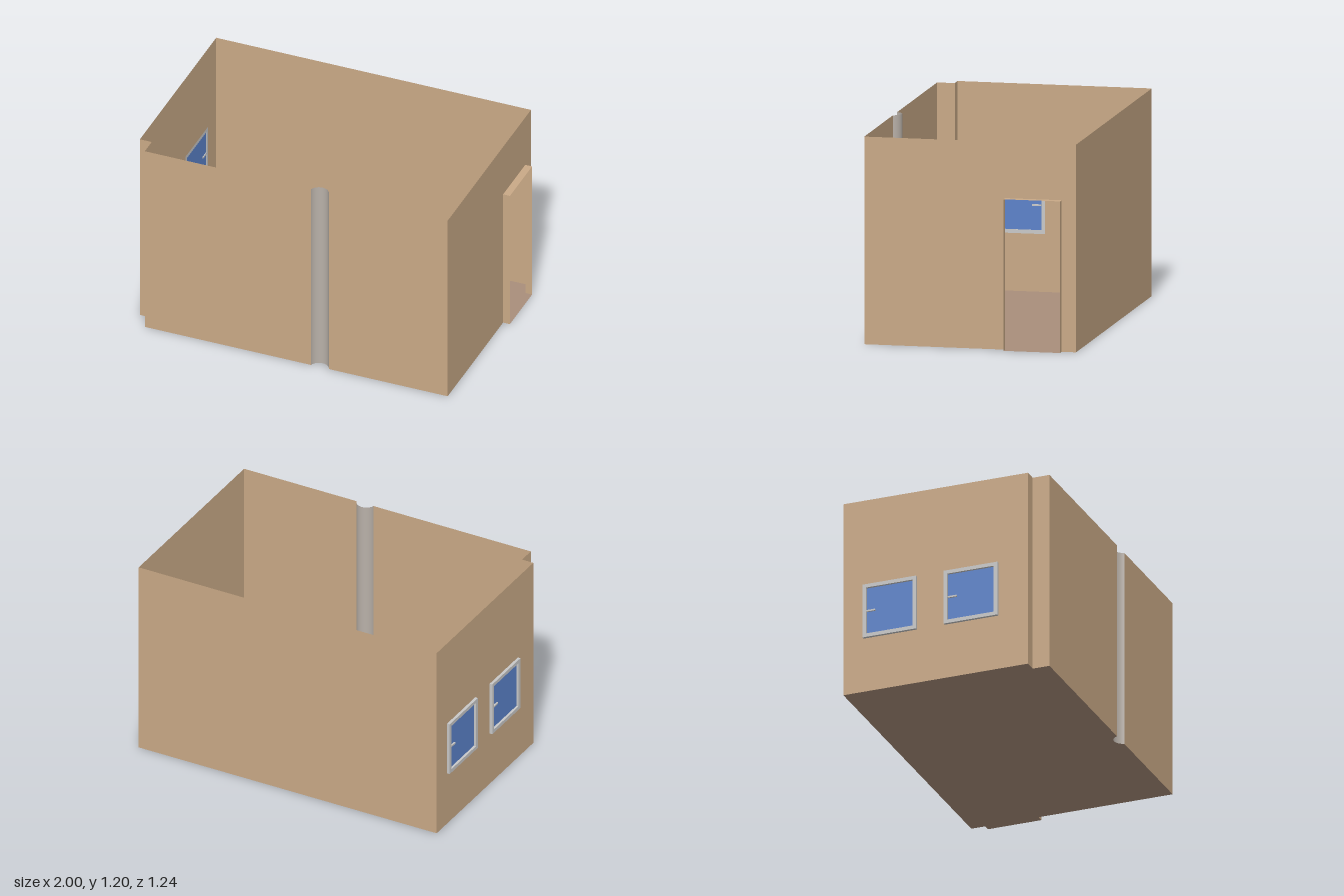
import * as THREE from 'three';

const mat = (name, color) => new THREE.MeshStandardMaterial({ name, color, side: THREE.DoubleSide });

export function createModel() {
  const room = new THREE.Group();
  room.name = 'room';

  const wallMat = mat('tan wall', 0xc9a986);
  const floorMat = mat('brown floor', 0xa88e7b);
  const pillarMat = mat('warm grey pillar', 0xb8b0a8);
  const frameMat = mat('light grey frame', 0xc8c8c8);
  const glassMat = mat('blue glass', 0x5b82ca);

  const H = 1.2, L = -0.983, R = 0.958, B = -0.619, F = 0.618;
  const notchX = -0.91, notchZ = 0.515;
  const pillar = { x: 0.17, z: 0.634, r: 0.0573, half: 0.055 };
  const tilt = Math.atan2(pillar.z - F, pillar.half);
  const door = { z0: -0.535, z1: -0.205, h: 0.876, out: 1.0 };
  const win = { y0: 0.334, y1: 0.666, rim: 0.022 };
  const winStarts = [-0.496, 0.004], winSize = 0.33;

  const add = (name, geo, material, parent = room) => {
    const m = new THREE.Mesh(geo, material);
    m.name = name;
    parent.add(m);
    return m;
  };
  const polygon = (pts, T = THREE.Shape) => new T(pts.map(p => new THREE.Vector2(...p)));
  const rect = (a, b, c, d) => [[a, b], [c, b], [c, d], [a, d]];
  // Shape drawn in (z, y), stood up at a given x
  const sidePlane = (shape, x) => new THREE.ShapeGeometry(shape).rotateY(-Math.PI / 2).translate(x, 0, 0);
  // Upright sheet between two floor points
  const sheet = (name, x0, z0, x1, z1, h) => {
    const g = new THREE.PlaneGeometry(Math.hypot(x1 - x0, z1 - z0), h);
    g.rotateY(-Math.atan2(z1 - z0, x1 - x0)).translate((x0 + x1) / 2, h / 2, (z0 + z1) / 2);
    return add(name, g, wallMat);
  };

  // Floor, with the corner notch and the pillar recess
  const outline = new THREE.Shape();
  outline.moveTo(L, B);
  outline.lineTo(R, B);
  outline.lineTo(R, F);
  outline.lineTo(pillar.x + pillar.half, F);
  outline.absarc(pillar.x, pillar.z, pillar.r, -tilt, tilt - Math.PI, true);
  outline.lineTo(notchX, F);
  outline.lineTo(notchX, notchZ);
  outline.lineTo(L, notchZ);
  add('floor', new THREE.ShapeGeometry(outline, 24).rotateX(Math.PI / 2), floorMat);

  // Plain walls
  sheet('backWall', L, B, R, B, H);
  sheet('frontWallLeft', pillar.x + pillar.half, F, R, F, H);
  sheet('frontWallRight', notchX, F, pillar.x - pillar.half, F, H);
  sheet('notchSide', notchX, notchZ, notchX, F, H);
  sheet('notchFront', L, notchZ, notchX, notchZ, H);

  // Pillar face, curving into the room
  const arc = Math.PI - 2 * tilt;
  add('pillar', new THREE.CylinderGeometry(pillar.r, pillar.r, H, 24, 1, true, Math.PI - arc / 2, arc)
    .translate(pillar.x, H / 2, pillar.z), pillarMat);

  // Door wall, cut down to the floor
  add('doorWall', sidePlane(polygon([
    [B, 0], [door.z0, 0], [door.z0, door.h], [door.z1, door.h],
    [door.z1, 0], [F, 0], [F, H], [B, H]]), R), wallMat);

  // Door reveal: two jambs, a head and a sill
  for (const z of [door.z0, door.z1]) sheet('doorJamb', R, z, door.out, z, door.h);
  const slab = y => new THREE.PlaneGeometry(door.out - R, door.z1 - door.z0)
    .rotateX(-Math.PI / 2).translate((R + door.out) / 2, y, (door.z0 + door.z1) / 2);
  add('doorHead', slab(door.h), wallMat);
  add('doorSill', slab(0), floorMat);

  // Window wall with two openings
  const windowWall = polygon(rect(B, 0, notchZ, H));
  for (const z of winStarts) {
    windowWall.holes.push(polygon(rect(z, win.y0, z + winSize, win.y1), THREE.Path));
  }
  add('windowWall', sidePlane(windowWall, L), wallMat);

  // Windows: projecting frame, recessed glass and a small handle
  for (const z of winStarts) {
    const group = new THREE.Group();
    group.name = 'window';
    room.add(group);
    const r = win.rim;
    const inner = rect(z + r, win.y0 + r, z + winSize - r, win.y1 - r);
    const frame = polygon(rect(z, win.y0, z + winSize, win.y1));
    frame.holes.push(polygon(inner, THREE.Path));
    add('windowFrame', new THREE.ExtrudeGeometry(frame, { depth: 0.017, bevelEnabled: false })
      .rotateY(-Math.PI / 2).translate(L, 0, 0), frameMat, group);
    add('windowGlass', sidePlane(polygon(inner), L - 0.003), glassMat, group);
    add('windowHandle', new THREE.BoxGeometry(0.014, 0.01, 0.054)
      .translate(L - 0.005, 0.5, z + r + 0.027), frameMat, group);
  }

  return room;
}
